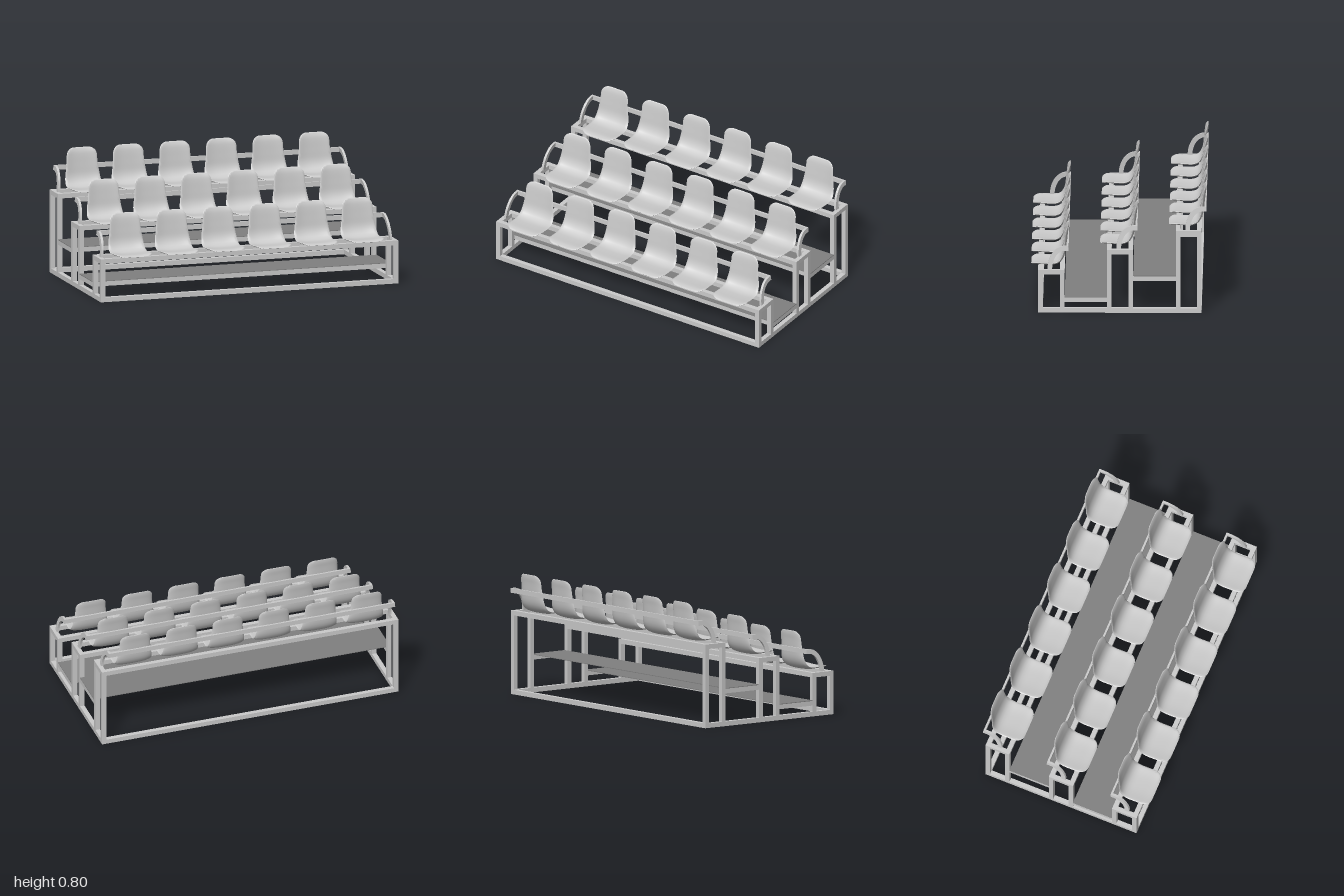
import * as THREE from 'three';
import { toCreasedNormals } from 'three/addons/utils/BufferGeometryUtils.js';

const T = 0.03; // square tube size
const grey = new THREE.MeshStandardMaterial({ color: 0xcccccc });
const deckGrey = new THREE.MeshStandardMaterial({ color: 0x808080 });

// front, back: outer z faces of each tier frame; top: height of its top
const tiers = [
  { front: 0.515, back: 0.345, top: 0.28, dz: 0, dy: 0 },
  { front: 0.075, back: -0.092, top: 0.415, dz: -0.44, dy: 0.135 },
  { front: -0.365, back: -0.53, top: 0.54, dz: -0.88, dy: 0.26 },
];

// Box given by its min and max corners
function bar(parent, name, x0, x1, y0, y1, z0, z1, material = grey) {
  const mesh = new THREE.Mesh(new THREE.BoxGeometry(x1 - x0, y1 - y0, z1 - z0), material);
  mesh.position.set((x0 + x1) / 2, (y0 + y1) / 2, (z0 + z1) / 2);
  mesh.name = name;
  parent.add(mesh);
}

// One-piece dished seat shell: lens-shaped sections swept along a side profile
function seatGeometry() {
  const profile = new THREE.CatmullRomCurve3([
    [0.56, 0.289], [0.52, 0.291], [0.46, 0.287], [0.41, 0.288], [0.372, 0.306],
    [0.348, 0.35], [0.338, 0.42], [0.33, 0.49], [0.321, 0.537],
  ].map(([z, y]) => new THREE.Vector3(0, y, z)));
  const length = profile.getLength();
  const rows = 34, half = 16, ring = half * 2, radius = 0.055;
  const positions = [], index = [];
  for (let i = 0; i <= rows; i++) {
    const v = (1 - Math.cos((Math.PI * i) / rows)) / 2;
    const p = profile.getPointAt(v), t = profile.getTangentAt(v);
    const s = Math.min(v, 1 - v) * length; // distance to the nearest end
    const k = Math.max(0, radius - s);
    const width = 0.123 - 0.021 * THREE.MathUtils.smoothstep(p.y, 0.28, 0.48)
      - (radius - Math.sqrt(radius * radius - k * k));
    const fade = Math.sqrt(Math.min(1, s / 0.03));
    for (let j = 0; j < ring; j++) {
      const a = (j / half) * Math.PI;
      const u = -Math.cos(a);
      const side = j < half ? 1 : -1;
      const edge = Math.sqrt(Math.max(0, 1 - u ** 8));
      const offset = fade * (0.011 * Math.abs(u) ** 3 + side * 0.006 * edge);
      positions.push(u * width, p.y - t.z * offset, p.z + t.y * offset);
    }
  }
  for (let i = 0; i < rows; i++) {
    for (let j = 0; j < ring; j++) {
      const a = i * ring + j, b = i * ring + ((j + 1) % ring);
      index.push(a, b, a + ring, b, b + ring, a + ring);
    }
  }
  const geometry = new THREE.BufferGeometry();
  geometry.setAttribute('position', new THREE.Float32BufferAttribute(positions, 3));
  geometry.setIndex(index);
  return toCreasedNormals(geometry, 1);
}

// Curved flat arm in the side plane, leaning outward towards its foot
function armGeometry() {
  const shape = new THREE.Shape();
  shape.moveTo(-0.455, 0.28);
  shape.absellipse(-0.345, 0.28, 0.11, 0.15, Math.PI, Math.PI / 2, true);
  shape.lineTo(-0.32, 0.43);
  shape.lineTo(-0.32, 0.4);
  shape.lineTo(-0.345, 0.4);
  shape.absellipse(-0.345, 0.28, 0.08, 0.12, Math.PI / 2, Math.PI, false);
  const geometry = new THREE.ExtrudeGeometry(shape, { depth: 0.015, bevelEnabled: false, curveSegments: 14 });
  geometry.rotateY(Math.PI / 2); // shape x becomes -z, depth becomes +x
  const pos = geometry.attributes.position;
  for (let i = 0; i < pos.count; i++) {
    pos.setX(i, pos.getX(i) + 0.95 + 0.1 * (0.43 - pos.getY(i)));
  }
  return toCreasedNormals(geometry, 0.5);
}

export function createModel() {
  const model = new THREE.Group();
  model.name = 'grandstand';

  // Base frame on the ground
  const base = new THREE.Group();
  base.name = 'baseFrame';
  model.add(base);
  const zFront = tiers[0].front, zBack = tiers[2].back;
  bar(base, 'frontBaseRail', -1 + T, 1 - T, 0, T, zFront - T, zFront);
  bar(base, 'backBaseRail', -1 + T, 1 - T, 0, T, zBack, zBack + T);
  for (const x of [-1, 1 - T]) bar(base, 'sideBaseRail', x, x + T, 0, T, zBack, zFront);

  const seat = seatGeometry();
  const arm = armGeometry();

  tiers.forEach((tier, n) => {
    // Tier frame: end posts, end rails and two long rails
    const frame = new THREE.Group();
    frame.name = 'tierFrame';
    model.add(frame);
    const { front, back, top } = tier;
    for (const x of [-1, 1 - T]) {
      bar(frame, 'frontPost', x, x + T, T, top - T, front - T, front);
      bar(frame, 'backPost', x, x + T, T, top - T, back, back + T);
      bar(frame, 'endRail', x, x + T, top - T, top, back, front);
    }
    bar(frame, 'frontTopRail', -1 + T, 1 - T, top - T, top, front - T, front);
    bar(frame, 'backTopRail', -1 + T, 1 - T, top - T, top, back, back + T);

    // Walkway between this tier and the next
    if (n < 2) {
      const walkway = new THREE.Group();
      walkway.name = 'walkway';
      model.add(walkway);
      const y = n ? 0.241 : 0.1, next = tiers[n + 1].front;
      for (const x of [-1, 1 - T]) bar(walkway, 'walkwayEndRail', x, x + T, y - T, y, next, back);
      bar(walkway, 'walkwayFrontRail', -1 + T, 1 - T, y - T, y, back - T, back);
      bar(walkway, 'walkwayDeck', -1, 1, y, y + 0.004, next, back, deckGrey);
    }

    // Seats, arms and the rail behind the backrests
    const row = new THREE.Group();
    row.name = 'seatRow';
    row.position.set(0, tier.dy, tier.dz);
    model.add(row);
    for (let i = 0; i < 6; i++) {
      const mesh = new THREE.Mesh(seat, grey);
      mesh.name = 'seat';
      mesh.position.x = (i - 2.5) * 0.3125;
      row.add(mesh);
    }
    for (const turn of [0, 1]) {
      const mesh = new THREE.Mesh(turn ? mirrored(arm) : arm, grey);
      mesh.name = turn ? 'rightArm' : 'leftArm';
      row.add(mesh);
    }
    bar(row, 'backrestRail', -0.965, 0.965, 0.4, 0.43, 0.32, 0.333);
  });
  return model;
}

// Copy mirrored in x with the corner order of each triangle kept facing out
function mirrored(source) {
  const g = source.clone();
  const pos = g.attributes.position, v = new THREE.Vector3(), w = new THREE.Vector3();
  for (let i = 0; i < pos.count; i += 3) {
    v.fromBufferAttribute(pos, i + 1);
    w.fromBufferAttribute(pos, i + 2);
    pos.setX(i, -pos.getX(i));
    pos.setXYZ(i + 1, -w.x, w.y, w.z);
    pos.setXYZ(i + 2, -v.x, v.y, v.z);
  }
  return toCreasedNormals(g, 0.5);
}
